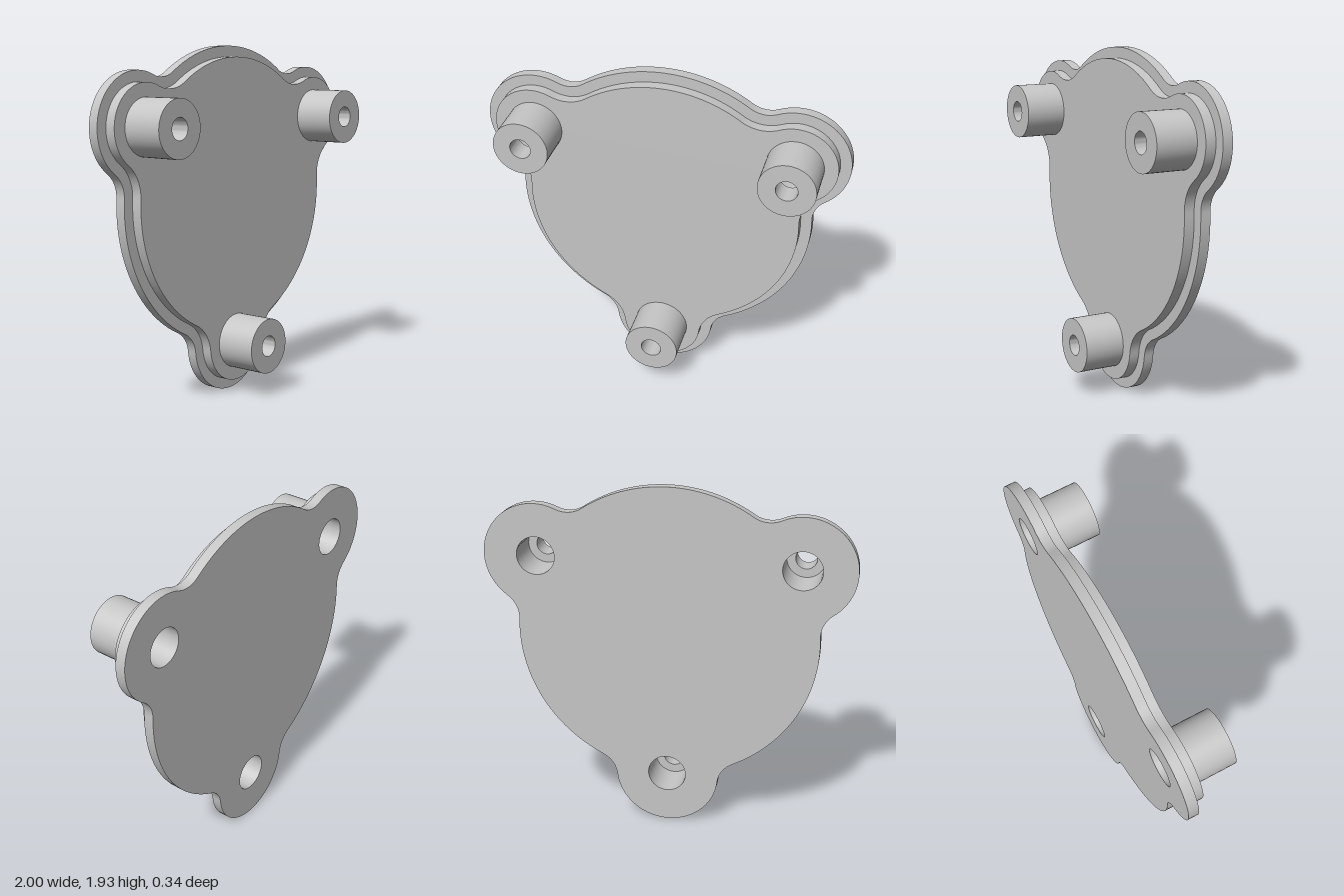
import * as THREE from 'three';
import { toCreasedNormals } from 'three/addons/utils/BufferGeometryUtils.js';

const CENTRE_Y = 1.112;   // middle of the round cover
const LOBE_DIST = 0.825;  // cover middle to screw axis
const BORE = 0.058, RECESS = 0.105, BOSS = 0.153;
const lobeAngles = [-90, 30, 150].map(THREE.MathUtils.degToRad);
const polar = (r, a) => new THREE.Vector2(r * Math.cos(a), r * Math.sin(a));

// Round disc with three lobes, blended by concave fillets; inset shrinks it evenly
function coverShape(inset) {
  const R = 0.822 - inset, r = 0.287 - inset, f = 0.15 + inset, d = LOBE_DIST;
  const phi = Math.acos((d * d + (R + f) ** 2 - (r + f) ** 2) / (2 * d * (R + f)));
  const points = [];

  // Adds an arc without its end point, turning the given way (1 = counter-clockwise)
  const arc = (c, radius, from, to, turn, steps) => {
    const full = 2 * Math.PI;
    const sweep = ((((to - from) * turn) % full) + full) % full * turn;
    for (let i = 0; i < steps; i++) points.push(polar(radius, from + sweep * i / steps).add(c));
  };

  const middle = new THREE.Vector2();
  for (const a of lobeAngles) {
    const lobe = polar(d, a);
    const f1 = polar(R + f, a - phi), f2 = polar(R + f, a + phi);
    const toF1 = f1.clone().sub(lobe).angle(), toF2 = f2.clone().sub(lobe).angle();
    arc(f1, f, a - phi + Math.PI, toF1 + Math.PI, -1, 12);
    arc(lobe, r, toF1, toF2, 1, 36);
    arc(f2, f, toF2 + Math.PI, a + phi + Math.PI, -1, 12);
    arc(middle, R, a + phi, a + Math.PI * 2 / 3 - phi, 1, 32);
  }

  const shape = new THREE.Shape(points);
  for (const a of lobeAngles) {
    const c = polar(d, a);
    shape.holes.push(new THREE.Path().absarc(c.x, c.y, RECESS, 0, Math.PI * 2, true));
  }
  return shape;
}

function plate(name, inset, zBack, zFront, material) {
  const geometry = new THREE.ExtrudeGeometry(coverShape(inset), {
    depth: zFront - zBack, bevelEnabled: false, curveSegments: 24,
  });
  const mesh = new THREE.Mesh(toCreasedNormals(geometry, 0.6), material);
  mesh.name = name;
  mesh.position.set(0, CENTRE_Y, zBack);
  return mesh;
}

export function createModel() {
  const model = new THREE.Group();
  model.name = 'threeLobedCover';
  const grey = new THREE.MeshStandardMaterial({ color: 0xc6c6c6 });
  grey.name = 'light grey';

  // Outer flange at the back and the smaller step in front of it
  model.add(plate('flange', 0, -0.172, -0.115, grey));
  model.add(plate('step', 0.06, -0.115, -0.057, grey));

  // Hollow screw bosses: narrow bore at the front, wide recess open to the back
  const profile = [
    [RECESS, -0.057], [BOSS, -0.057], [BOSS, 0.172], [BORE, 0.172],
    [BORE, 0.05], [RECESS, 0.05], [RECESS, -0.057],
  ].map(([x, y]) => new THREE.Vector2(x, y));
  const bossGeometry = toCreasedNormals(new THREE.LatheGeometry(profile, 48), 0.6);
  bossGeometry.rotateX(Math.PI / 2);
  lobeAngles.forEach((a, i) => {
    const boss = new THREE.Mesh(bossGeometry, grey);
    boss.name = ['bottomBoss', 'leftBoss', 'rightBoss'][i];
    const c = polar(LOBE_DIST, a);
    boss.position.set(c.x, CENTRE_Y + c.y, 0);
    model.add(boss);
  });

  return model;
}
